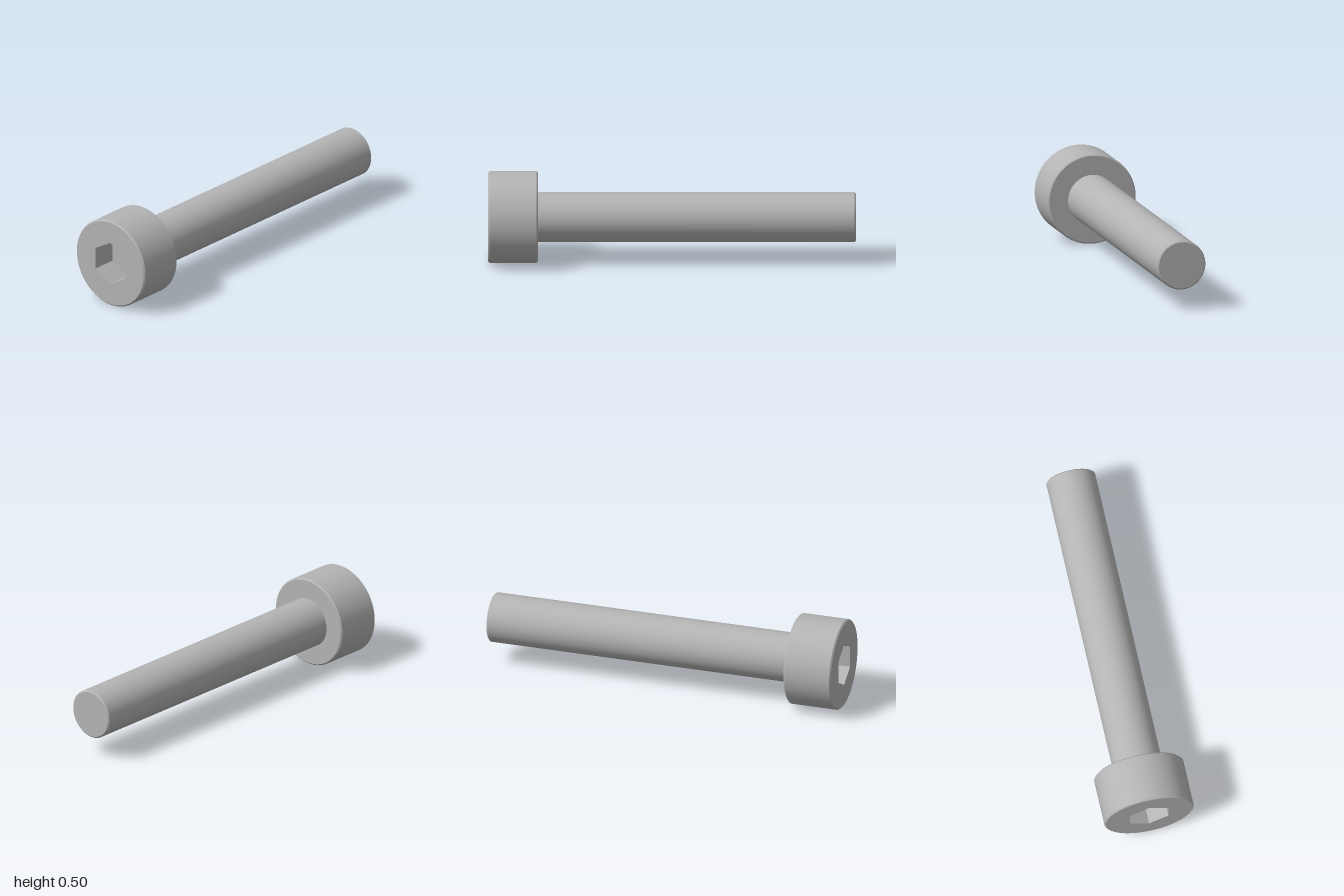
import * as THREE from 'three';
import { mergeGeometries } from 'three/addons/utils/BufferGeometryUtils.js';

const SEGMENTS = 64;
const HEAD_R = 0.249, SHAFT_R = 0.136, HEX_R = 0.1225;
const HEAD_BACK = 0.73, SOCKET_FLOOR = 0.86, BEVEL = 0.0075;

// Revolves a profile of [radius, z] points about z, keeping every profile corner sharp
function revolve(profile, segments, flat = false) {
  const bands = [];
  for (let i = 0; i < profile.length - 1; i++) {
    const pair = [profile[i], profile[i + 1]].map(([r, z]) => new THREE.Vector2(r, z));
    const band = new THREE.LatheGeometry(pair, segments).toNonIndexed();
    if (flat) band.computeVertexNormals();
    bands.push(band);
  }
  return mergeGeometries(bands).rotateX(Math.PI / 2);
}

export function createModel() {
  const model = new THREE.Group();
  model.name = 'socketHeadScrew';
  const steel = new THREE.MeshStandardMaterial({ color: 0xb4b4b4 });
  steel.name = 'steel grey';

  const add = (name, geometry) => {
    const mesh = new THREE.Mesh(geometry, steel);
    mesh.name = name;
    mesh.position.y = HEAD_R;
    model.add(mesh);
  };

  // Shaft with a chamfered tip
  add('shaft', revolve([
    [0, -1], [SHAFT_R - BEVEL, -1], [SHAFT_R, -1 + BEVEL], [SHAFT_R, HEAD_BACK],
  ], SEGMENTS));

  // Cylindrical head, chamfered on both rims
  add('head', revolve([
    [SHAFT_R, HEAD_BACK], [HEAD_R - BEVEL, HEAD_BACK], [HEAD_R, HEAD_BACK + BEVEL],
    [HEAD_R, 1 - BEVEL], [HEAD_R - BEVEL, 1],
  ], SEGMENTS));

  // Front face with a hexagonal opening
  const face = new THREE.Shape().absarc(0, 0, HEAD_R - BEVEL, 0, Math.PI * 2);
  const hexagon = [];
  for (let i = 0; i < 6; i++) {
    const a = Math.PI / 2 + i * Math.PI / 3;
    hexagon.push(new THREE.Vector2(HEX_R * Math.cos(a), HEX_R * Math.sin(a)));
  }
  face.holes.push(new THREE.Path(hexagon));
  add('headFace', new THREE.ShapeGeometry(face, SEGMENTS).translate(0, 0, 1));

  // Hex socket walls and floor
  add('hexSocket', revolve([
    [HEX_R, 1], [HEX_R, SOCKET_FLOOR], [0, SOCKET_FLOOR],
  ], 6, true));

  return model;
}
